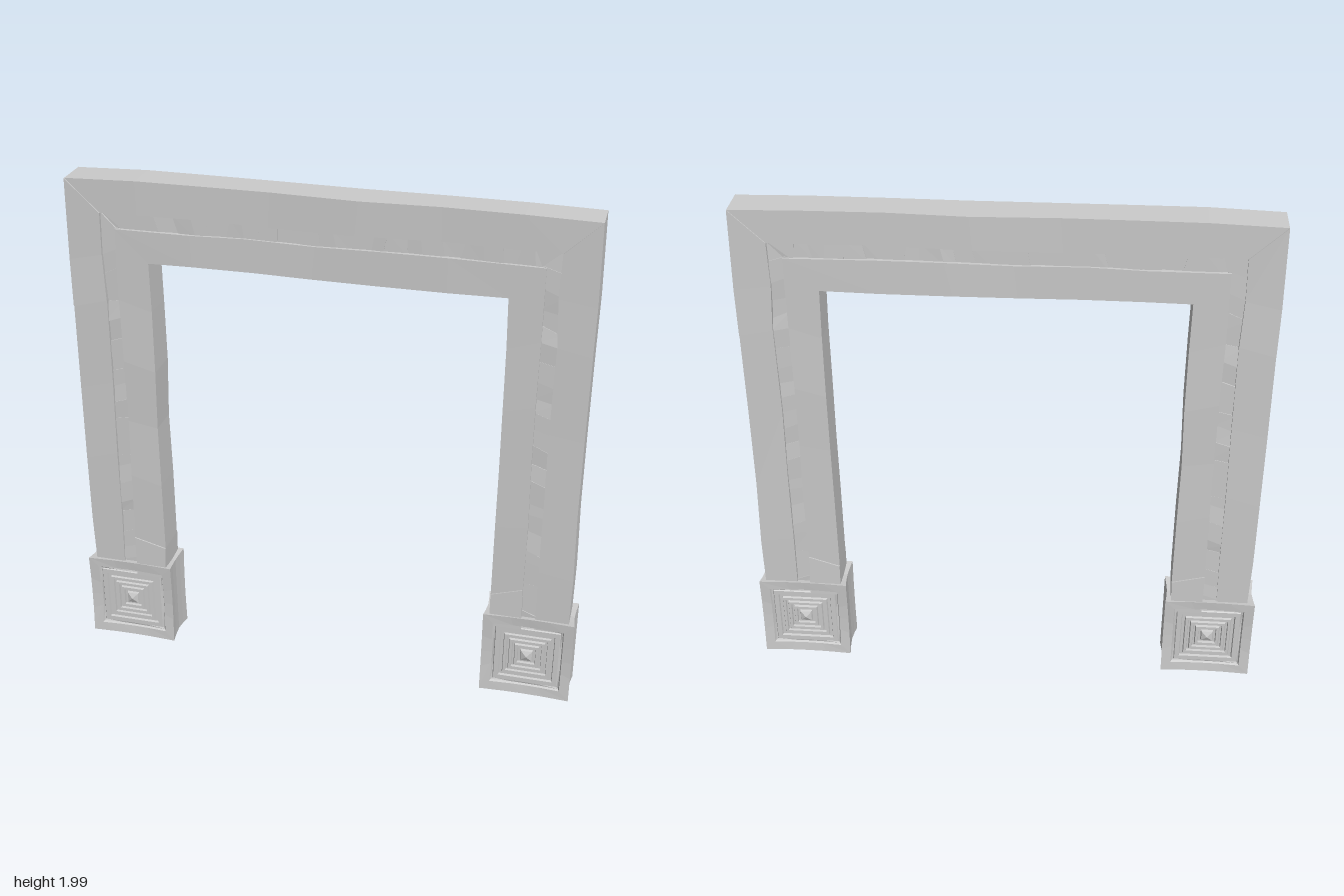
import * as THREE from 'three';
import { mergeGeometries } from 'three/addons/utils/BufferGeometryUtils.js';

const stone = new THREE.MeshStandardMaterial({ color: 0xcccccc, flatShading: true });

let seed = 7;
function jitter(amount) {
  seed = (seed * 16807) % 2147483647;
  return ((seed / 2147483647) * 2 - 1) * amount;
}

function addMesh(parent, name, geometry) {
  const mesh = new THREE.Mesh(geometry, stone);
  mesh.name = name;
  parent.add(mesh);
  return mesh;
}

// One stone between two joints; each joint has an outer point, an inner point and a half depth
function block(a, b, extra) {
  const positions = [];
  for (const s of [a, b]) {
    const d = s.depth + extra;
    positions.push(...s.outer, d, ...s.inner, d, ...s.inner, -d, ...s.outer, -d);
  }
  const index = [0, 3, 2, 0, 2, 1, 4, 5, 6, 4, 6, 7];
  for (let i = 0; i < 4; i++) {
    const j = (i + 1) % 4;
    index.push(i, j, j + 4, i, j + 4, i + 4);
  }
  const g = new THREE.BufferGeometry();
  g.setAttribute('position', new THREE.Float32BufferAttribute(positions, 3));
  g.setIndex(index);
  const flat = g.toNonIndexed();
  flat.computeVertexNormals();
  return flat;
}

// A row of stones running up the left post, along the lintel and down the right post
function band({ outer, inner, legs, tops, depth, rough, tilt, extra }) {
  const [ox, oy] = outer, [ix, iy] = inner;
  const joints = [];
  const leg = (side, y) => {
    const t = y > 0.31 ? tilt / 2 + jitter(Math.abs(tilt) / 4) : 0;
    joints.push({
      outer: [side * (ox + jitter(rough)), y - t],
      inner: [side * (ix + jitter(rough)), y + t],
      depth: depth + jitter(0.003),
    });
  };
  const corner = (side) => joints.push({
    outer: [side * ox, oy - rough], inner: [side * ix, iy], depth,
  });
  legs.forEach((y) => leg(-1, y));
  corner(-1);
  tops.forEach((x) => {
    const t = jitter(Math.abs(tilt) / 2);
    joints.push({
      outer: [x - t, oy + jitter(rough)],
      inner: [x + t, iy + jitter(rough)],
      depth: depth + jitter(0.003),
    });
  });
  corner(1);
  [...legs].reverse().forEach((y) => leg(1, y));

  const stones = [];
  for (let i = 0; i < joints.length - 1; i++) {
    const midY = (joints[i].outer[1] + joints[i + 1].outer[1]) / 2;
    stones.push(block(joints[i], joints[i + 1], extra(midY)));
  }
  return mergeGeometries(stones);
}

const spaced = (from, to, n) =>
  Array.from({ length: n }, (_, i) => from + ((to - from) * i) / (n - 1) + (i ? jitter(0.015) : 0));

// Square plinth: a lathe profile squared off, with nested square rings carved front and back
function plinthGeometry() {
  const half = [[0, 0.079], [0.022, 0.073], [0.025, 0.063], [0.034, 0.063], [0.036, 0.074],
    [0.046, 0.074], [0.049, 0.064], [0.056, 0.064], [0.058, 0.075], [0.068, 0.075],
    [0.071, 0.065], [0.078, 0.065], [0.08, 0.075], [0.09, 0.075], [0.093, 0.066],
    [0.104, 0.066], [0.107, 0.076], [0.125, 0.076], [0.128, 0.071], [0.135, 0.071],
    [0.139, 0.08], [0.1775, 0.084], [0.173, 0.045], [0.17, 0]];
  const front = half.map(([r, z]) => new THREE.Vector2(r, z)).reverse();
  const back = half.slice(0, -1).map(([r, z]) => new THREE.Vector2(r, -z));
  const g = new THREE.LatheGeometry([...back, ...front], 16);
  const p = g.attributes.position;
  for (let i = 0; i < p.count; i++) {
    const x = p.getX(i), y = p.getY(i), z = p.getZ(i);
    const big = Math.max(Math.abs(x), Math.abs(z));
    const small = Math.min(Math.abs(x), Math.abs(z));
    const r = Math.hypot(x, z);
    if (r < 1e-6) continue;
    const k = r / big;
    // Faces bow inward between the flared corners
    const bow = r > 0.13 ? 0.92 + 0.08 * (small / big) ** 2 : 0.95;
    p.setXYZ(i, x * k, y * bow, z * k);
  }
  g.rotateX(Math.PI / 2);
  const flat = g.toNonIndexed();
  flat.computeVertexNormals();
  return flat;
}

export function createModel() {
  const model = new THREE.Group();
  model.name = 'stoneGateway';

  // Large stones on either side of the groove
  addMesh(model, 'outerStones', band({
    outer: [0.974, 1.984], inner: [0.845, 1.857],
    legs: [0.3, 0.56, 0.84, 1.15, 1.495, 1.68],
    tops: [-0.7, -0.43, -0.2, 0.12, 0.42, 0.7],
    depth: 0.067, rough: 0.005, tilt: 0.03,
    extra: (y) => (y > 1.5 && y < 1.9 ? 0.004 : 0),
  }));
  addMesh(model, 'innerStones', band({
    outer: [0.792, 1.803], inner: [0.667, 1.676],
    legs: [0.3, 0.46, 0.75, 1.0, 1.25, 1.5],
    tops: [-0.5, -0.28, -0.04, 0.2, 0.45],
    depth: 0.067, rough: 0.004, tilt: -0.03,
    extra: (y) => (y < 0.47 ? 0.005 : 0),
  }));

  // Small stones set back in the groove
  addMesh(model, 'grooveStones', band({
    outer: [0.858, 1.87], inner: [0.78, 1.79],
    legs: spaced(0.3, 1.78, 22), tops: spaced(-0.76, 0.76, 24),
    depth: 0.056, rough: 0, tilt: 0.025,
    extra: () => jitter(0.004),
  }));

  // Plinths under both posts
  const plinth = plinthGeometry();
  for (const [name, side] of [['leftPlinth', 1], ['rightPlinth', -1]]) {
    addMesh(model, name, plinth).position.set(side * 0.8225, 0.1775, 0);
  }
  return model;
}
